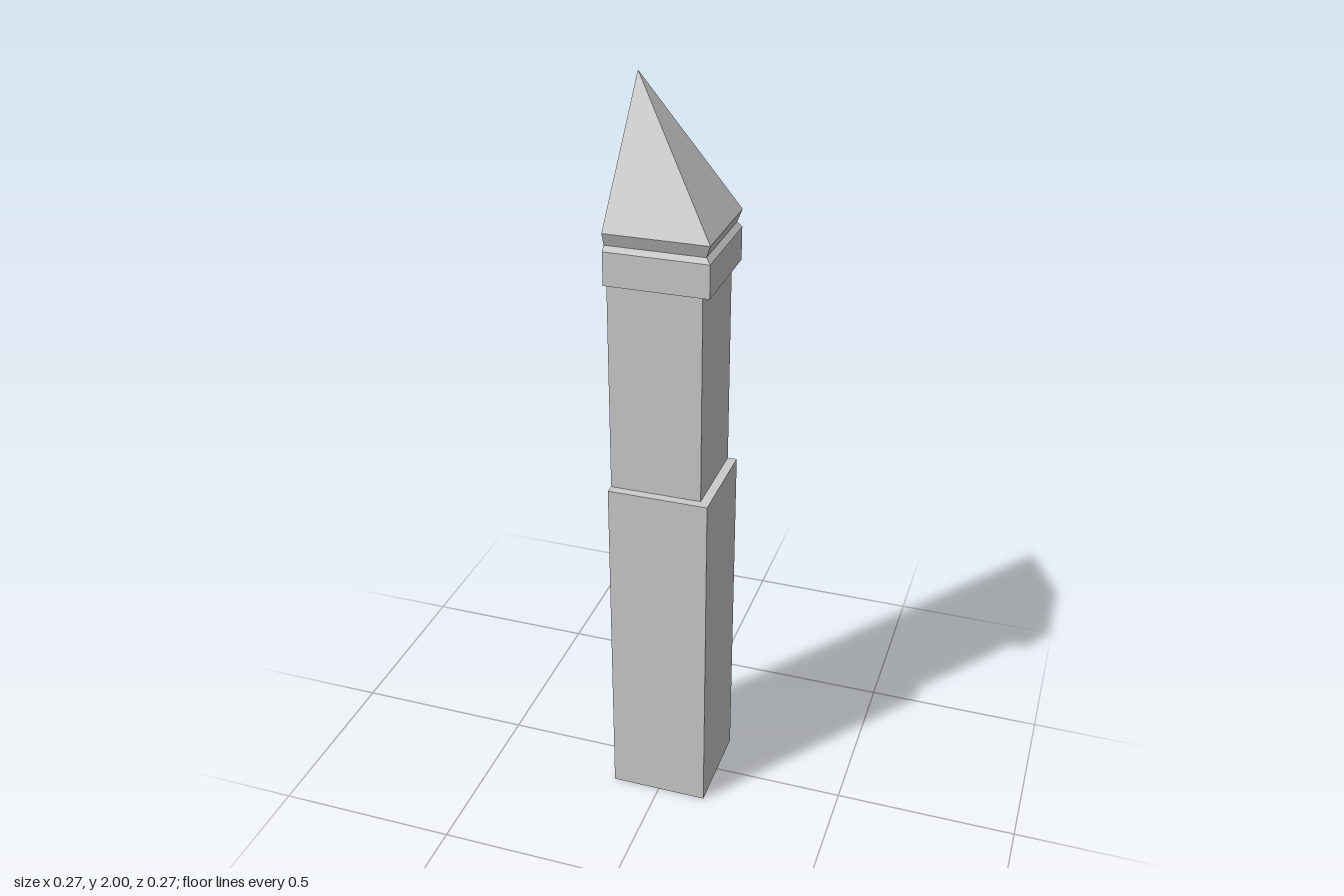
import * as THREE from 'three';

const CORNER = -0.135; // back right edge, shared by every tier

// A square block flush with the corner edge; its outer sides may taper.
function tier(name, y0, y1, bottom, top, material) {
  const geometry = new THREE.BoxGeometry(1, 1, 1).translate(0.5, 0.5, 0.5);
  const p = geometry.attributes.position;
  for (let i = 0; i < p.count; i++) {
    const upper = p.getY(i) > 0.5;
    const size = upper ? top : bottom;
    p.setXYZ(i, CORNER + p.getX(i) * size, upper ? y1 : y0, CORNER + p.getZ(i) * size);
  }
  geometry.computeVertexNormals();
  const mesh = new THREE.Mesh(geometry, material);
  mesh.name = name;
  return mesh;
}

export function createModel() {
  const group = new THREE.Group();
  group.name = 'cornerPillar';
  const material = new THREE.MeshStandardMaterial({ color: 0xcccccc, flatShading: true });

  // name, bottom y, top y, bottom width, top width
  const tiers = [
    ['base', 0, 0.973, 0.27, 0.27],
    ['shaft', 0.973, 1.546, 0.245, 0.245],
    ['collar', 1.546, 1.633, 0.27, 0.27],
    ['collarSlope', 1.633, 1.645, 0.27, 0.257],
    ['eaves', 1.645, 1.679, 0.257, 0.27],
    ['spire', 1.679, 2, 0.27, 0],
  ];
  for (const t of tiers) group.add(tier(...t, material));
  return group;
}
